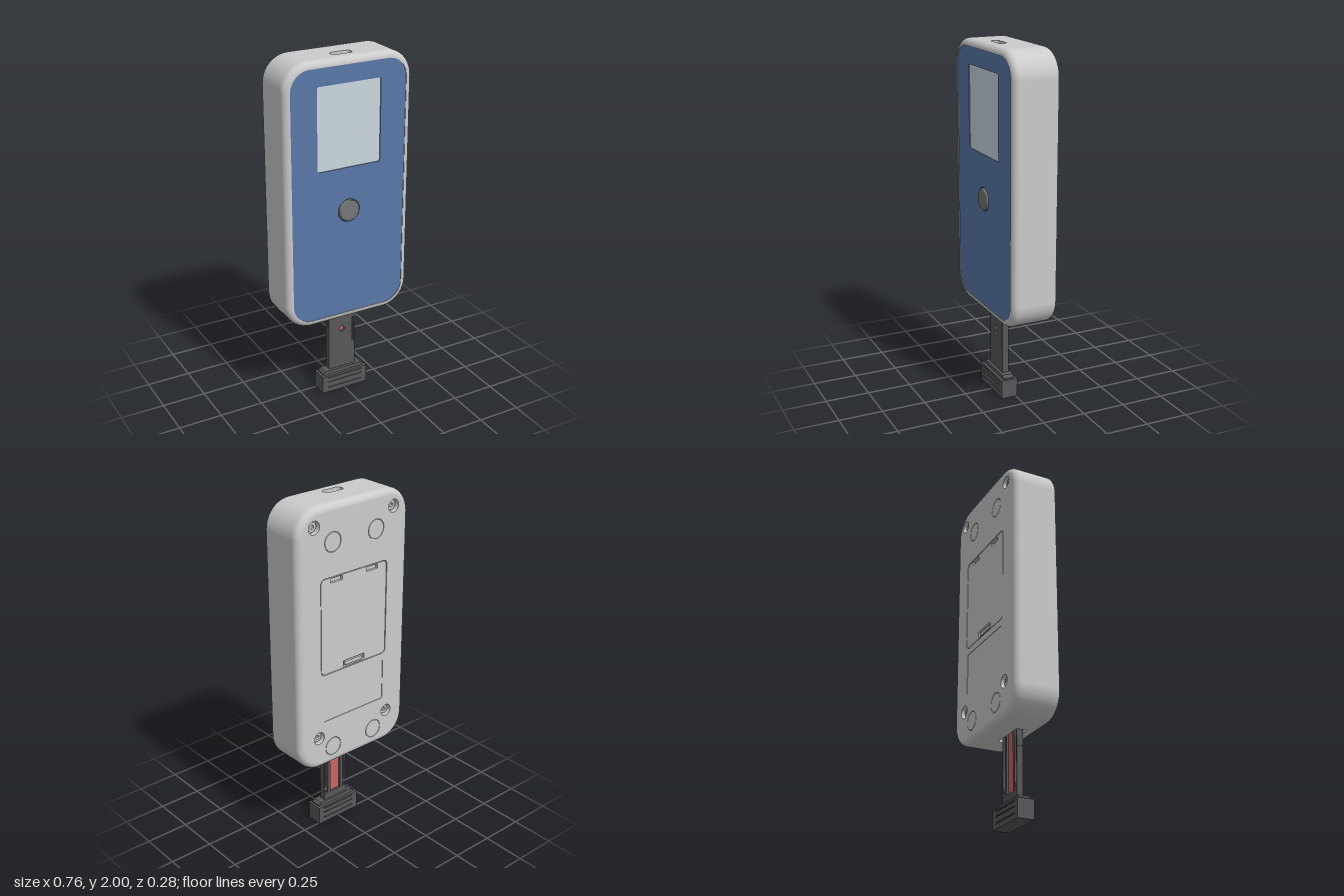
import * as THREE from 'three';

const mat = (color) => new THREE.MeshStandardMaterial({ color, side: THREE.DoubleSide });
const GREY = mat(0xcccccc), DARK = mat(0x58585a), BUTTON = mat(0x767676);
const BLUE = mat(0x5a78a8), GLASS = mat(0xcbd7e0), RED = mat(0xc86464);

function add(parent, name, geometry, material, x = 0, y = 0, z = 0) {
  const m = new THREE.Mesh(geometry, material);
  m.name = name;
  m.position.set(x, y, z);
  parent.add(m);
  return m;
}
const box = (w, h, d) => new THREE.BoxGeometry(w, h, d);
const CENTRES = [[1, 1], [-1, 1], [-1, -1], [1, -1]];
const N = 10; // segments per rounded corner

// Points of a rounded rectangle, counter-clockwise from the right side
function rr(w, h, r, cx = 0, cy = 0) {
  const pts = [], n = r ? N : 0;
  CENTRES.forEach(([sx, sy], k) => {
    for (let i = 0; i <= n; i++) {
      const a = (k + (n ? i / n : 0)) * Math.PI / 2;
      pts.push(new THREE.Vector2(
        cx + sx * (w / 2 - r) + r * Math.cos(a),
        cy + sy * (h / 2 - r) + r * Math.sin(a)));
    }
  });
  return pts;
}
function disc(r, cx, cy) {
  return Array.from({ length: 32 }, (_, i) => {
    const a = i / 32 * Math.PI * 2;
    return new THREE.Vector2(cx + r * Math.cos(a), cy + r * Math.sin(a));
  });
}
function shape(points, holes = []) {
  const s = new THREE.Shape(points);
  s.holes = holes.map((h) => new THREE.Path(h));
  return s;
}
const slab = (points, depth, holes) =>
  new THREE.ExtrudeGeometry(shape(points, holes), { depth, bevelEnabled: false });

// Flat face towards +z with recessed pockets (walls and floor)
function face(name, outline, material, pockets) {
  const g = new THREE.Group();
  g.name = name;
  add(g, name + 'Surface', new THREE.ShapeGeometry(shape(outline, pockets.map((p) => p.pts))), material);
  for (const { name: pn, pts, depth, floor = material, wall = material } of pockets) {
    const v = [];
    pts.forEach((a, i) => {
      const b = pts[(i + 1) % pts.length];
      v.push(a.x, a.y, 0, b.x, b.y, 0, b.x, b.y, -depth, a.x, a.y, 0, b.x, b.y, -depth, a.x, a.y, -depth);
    });
    const geo = new THREE.BufferGeometry();
    geo.setAttribute('position', new THREE.Float32BufferAttribute(v, 3));
    geo.computeVertexNormals();
    add(g, pn + 'Wall', geo, wall);
    add(g, pn + 'Floor', new THREE.ShapeGeometry(shape(pts)), floor, 0, 0, -depth);
  }
  return g;
}

const W = 0.764, H = 1.51, R = 0.15, FILLET = 0.038, BACK = -0.14, FRONT = 0.13, CY = 1.245;

// Rounded wall of the case; its flat top and bottom middles are left open for the end faces
function caseWall() {
  const rows = []; // [inset, z, radial normal, z normal]
  for (let i = 0; i <= 8; i++) {
    const a = i / 8 * Math.PI / 2, c = Math.cos(a), s = Math.sin(a);
    rows.push([FILLET * (1 - s), BACK + FILLET * (1 - c), s, -c]);
  }
  for (let i = 0; i <= 8; i++) {
    const a = i / 8 * Math.PI / 2, c = Math.cos(a), s = Math.sin(a);
    rows.push([FILLET * (1 - c), FRONT - FILLET * (1 - s), c, s]);
  }
  rows.push([FILLET, FRONT, -1, 0], [FILLET, FRONT - 0.012, -1, 0]);
  const pos = [], nor = [], idx = [], n = 4 * (N + 1);
  rows.forEach(([inset, z, nr, nz], j) => {
    rr(W - 2 * inset, H - 2 * inset, R - inset).forEach((p, i) => {
      const a = (Math.floor(i / (N + 1)) + (i % (N + 1)) / N) * Math.PI / 2;
      pos.push(p.x, p.y, z);
      nor.push(nr * Math.cos(a), nr * Math.sin(a), nz);
      const open = j === 8 && (i === N || i === 3 * N + 2);
      if (j < rows.length - 1 && j !== 17 && !open) {
        const k = (i + 1) % n, r0 = j * n, r1 = r0 + n;
        idx.push(r0 + i, r0 + k, r1 + k, r0 + i, r1 + k, r1 + i);
      }
    });
  });
  const g = new THREE.BufferGeometry();
  g.setAttribute('position', new THREE.Float32BufferAttribute(pos, 3));
  g.setAttribute('normal', new THREE.Float32BufferAttribute(nor, 3));
  g.setIndex(idx);
  return g;
}

function buildCase() {
  const g = new THREE.Group();
  g.name = 'case';
  g.position.y = CY;
  add(g, 'caseWall', caseWall(), GREY);
  const inner = rr(W - 2 * FILLET, H - 2 * FILLET, R - FILLET);

  // Front panel with screen and button
  const front = face('frontPanel', inner, BLUE, [
    { name: 'screen', pts: rr(0.38, 0.465, 0.012, 0, 1.632 - CY), depth: 0.005, floor: GLASS },
    { name: 'buttonSeat', pts: disc(0.066, 0, 1.15 - CY), depth: 0.008, floor: DARK },
  ]);
  front.position.z = FRONT - 0.003;
  g.add(front);
  const profile = [[0.061, 0], [0.061, 0.014], [0.058, 0.017], [0.05, 0.019], [0, 0.019]]
    .map(([x, y]) => new THREE.Vector2(x, y));
  add(g, 'button', new THREE.LatheGeometry(profile, 40), BUTTON, 0, 1.15 - CY, 0.12).rotation.x = Math.PI / 2;

  // Charging port on top, strip slot underneath
  const endW = W - 2 * R, endD = FRONT - BACK - 2 * FILLET, mid = (FRONT + BACK) / 2;
  const top = face('topFace', rr(endW, endD, 0, 0, -mid), GREY, [
    { name: 'port', pts: rr(0.122, 0.048, 0.018, 0, -0.035), depth: 0.03, floor: DARK }]);
  top.rotation.x = -Math.PI / 2;
  top.position.y = H / 2;
  const bottom = face('bottomFace', rr(endW, endD, 0, 0, mid), GREY, [
    { name: 'stripSlot', pts: rr(0.23, 0.062, 0.01, 0, 0.034), depth: 0.08 }]);
  bottom.rotation.x = Math.PI / 2;
  bottom.position.y = -H / 2;
  g.add(top, bottom);

  // Back face: screw wells, feet, battery door and label recess
  const pockets = [
    { name: 'batteryBay', pts: rr(0.462, 0.552, 0.025, 0, 1.335 - CY), depth: 0.016 },
    { name: 'labelRecess', pts: rr(0.43, 0.245, 0.01, 0, 0.898 - CY), depth: 0.003 },
  ];
  const screws = [], feet = [];
  for (const s of [-1, 1]) {
    screws.push([s * 0.27, 1.9 - CY], [s * 0.247, 0.684 - CY]);
    feet.push([s * 0.148, 1.8 - CY], [s * 0.148, 0.6 - CY]);
  }
  screws.forEach(([x, y]) => pockets.push({ name: 'screwWell', pts: disc(0.036, x, y), depth: 0.03 }));
  feet.forEach(([x, y]) => pockets.push({ name: 'footSeat', pts: disc(0.055, x, y), depth: 0.006 }));
  const back = face('backFace', inner, GREY, pockets);
  screws.forEach(([x, y]) => add(back, 'screw', slab(disc(0.026, x, y), 0.012, [disc(0.012, x, y)]), GREY, 0, 0, -0.029));
  feet.forEach(([x, y]) => add(back, 'foot', slab(disc(0.052, x, y), 0.006), GREY, 0, 0, -0.006));
  const latch = rr(0.15, 0.036, 0.006, 0, 1.086 - CY);
  const slots = [-1, 1].map((s) => rr(0.08, 0.024, 0.004, s * 0.123, 1.59 - CY));
  add(back, 'batteryDoor', slab(rr(0.454, 0.544, 0.022, 0, 1.335 - CY), 0.014, [latch, ...slots]), GREY, 0, 0, -0.015);
  add(back, 'doorLatch', box(0.12, 0.02, 0.012), GREY, 0, 1.084 - CY, -0.009);
  back.rotation.y = Math.PI;
  back.position.z = BACK;
  g.add(back);
  return g;
}

function buildStrip() {
  const g = new THREE.Group();
  g.name = 'testStrip';
  // Front plate with window and spring slit
  add(g, 'stripPlate', slab(rr(0.17, 0.45, 0, 0, 0.345), 0.014,
    [disc(0.017, 0, 0.377), rr(0.011, 0.16, 0.004, 0.0725, 0.36)]), DARK, 0, 0, 0.039);
  add(g, 'testPaper', box(0.074, 0.4, 0.008), RED, 0, 0.36, 0.033);
  // Rails on either side of the paper
  for (const s of [-1, 1]) {
    add(g, 'innerRail', box(0.018, 0.45, 0.024), DARK, s * 0.047, 0.345, 0.029);
    add(g, 'outerRail', box(0.007, 0.45, 0.024), DARK, s * 0.0815, 0.345, 0.029);
    add(g, 'railTie', box(0.03, 0.02, 0.02), DARK, s * 0.069, 0.2, 0.03);
    add(g, 'clip', box(0.01, 0.03, 0.022), DARK, s * 0.083, 0.425, 0.035);
  }
  add(g, 'stripFoot', box(0.17, 0.06, 0.034), DARK, 0, 0.14, 0.034);
  return g;
}

function buildHandle() {
  const g = new THREE.Group();
  g.name = 'handle';
  const Z = 0.0375, h = 0.108;
  add(g, 'handleCore', box(0.29, h, 0.084), DARK, 0, h / 2, Z);
  const grooves = [0.032, 0.068, 0.096].map((y) => rr(0.22, 0.007, 0, 0, y));
  for (const z of [Z - 0.048, Z + 0.042]) {
    add(g, 'gripPlate', slab(rr(0.29, h, 0, 0, h / 2), 0.006, grooves), DARK, 0, 0, z);
  }
  // Tapered shoulder
  const pts = [[-0.132, h], [0.132, h], [0.132, 0.115], [0.117, 0.13], [-0.117, 0.13], [-0.132, 0.115]]
    .map(([x, y]) => new THREE.Vector2(x, y));
  add(g, 'shoulder', slab(pts, 0.064), DARK, 0, 0, Z - 0.032);
  return g;
}

export function createModel() {
  const model = new THREE.Group();
  model.name = 'handheldTester';
  model.add(buildCase(), buildStrip(), buildHandle());
  return model;
}
